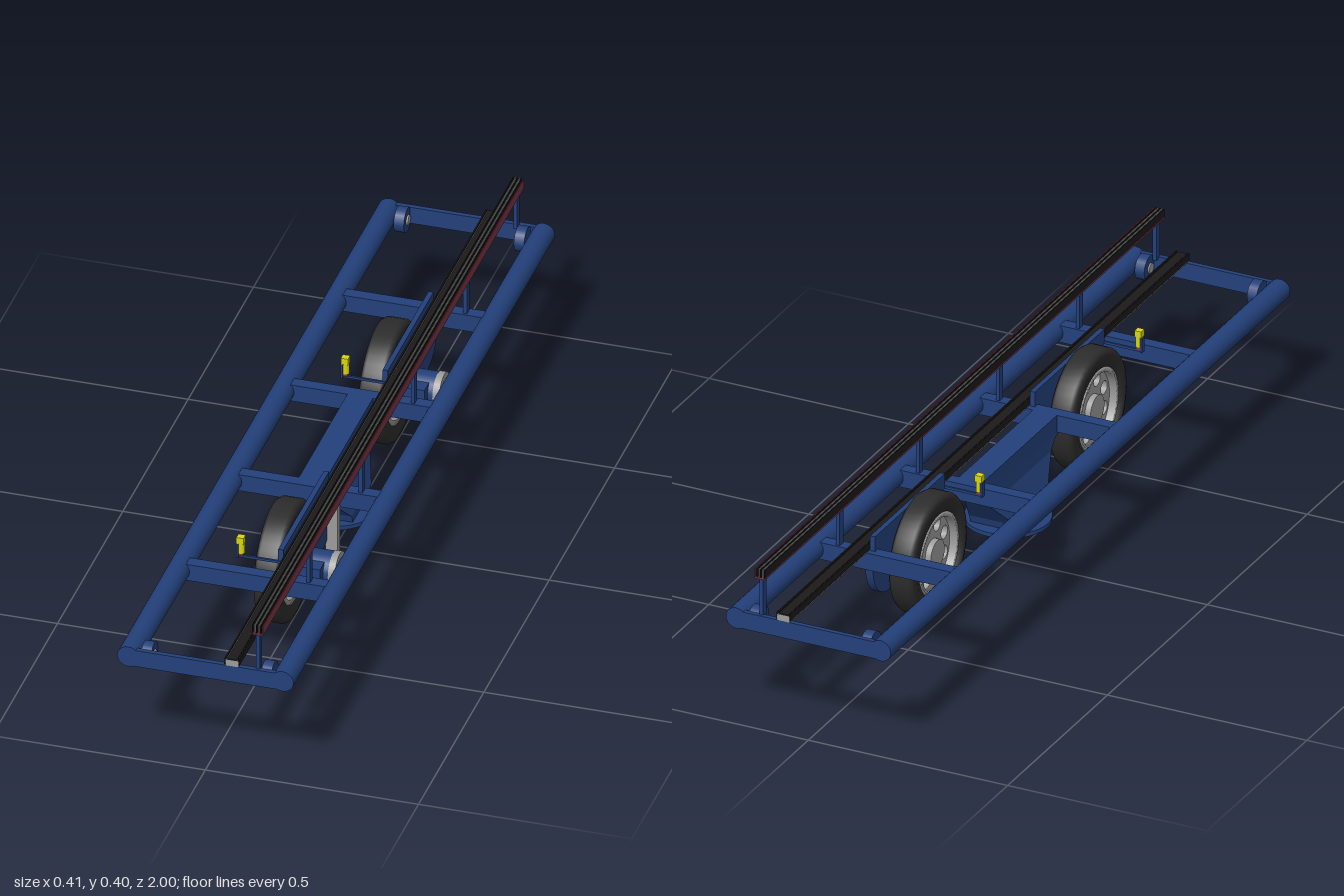
import * as THREE from 'three';

const mat = (name, color, side = THREE.FrontSide) => {
  const m = new THREE.MeshStandardMaterial({ color, side });
  m.name = name;
  return m;
};

export function createModel() {
  const blue = mat('frame blue', 0x23407a);
  const rubber = mat('tyre rubber', 0x2c2c2c);
  const grey = mat('metal grey', 0x9c9c9c);
  const black = mat('track black', 0x1c1a1a);
  const red = mat('rail red', 0x7a3445);
  const yellow = mat('lamp yellow', 0xd9d60f);
  const root = new THREE.Group();

  const add = (parent, name, geo, material) => {
    const m = new THREE.Mesh(geo, material);
    m.name = name;
    parent.add(m);
    return m;
  };
  // Box given by its limits on each axis
  const box = (parent, name, material, [x0, x1], [y0, y1], [z0, z1]) =>
    add(parent, name, new THREE.BoxGeometry(x1 - x0, y1 - y0, z1 - z0)
      .translate((x0 + x1) / 2, (y0 + y1) / 2, (z0 + z1) / 2), material);
  // Cylinder along x, between x0 and x1
  const cylX = (parent, name, material, r, x0, x1, y, z, seg = 24) =>
    add(parent, name, new THREE.CylinderGeometry(r, r, x1 - x0, seg).rotateZ(Math.PI / 2)
      .translate((x0 + x1) / 2, y, z), material);
  // Shape drawn in (z, y), extruded from x0 to x1
  const plateX = (parent, name, material, shape, x0, x1) =>
    add(parent, name, new THREE.ExtrudeGeometry(shape, { depth: x1 - x0, bevelEnabled: false, curveSegments: 16 })
      .rotateY(-Math.PI / 2).translate(x1, 0, 0), material);

  // Frame: side tubes, end plates, cross beams
  const frame = new THREE.Group();
  frame.name = 'frame';
  root.add(frame);
  for (const s of [-1, 1]) {
    add(frame, 'sideTube', new THREE.CylinderGeometry(0.026, 0.026, 2, 20).rotateX(Math.PI / 2)
      .translate(s * 0.181, 0.266, 0), blue);
    const e = s * 0.994;
    box(frame, 'endPlate', blue, [-0.18, 0.18], [0.243, 0.285], [e - 0.006, e + 0.006]);
    for (const z of [0.2, 0.6])
      box(frame, 'crossBeam', blue, [-0.165, 0.165], [0.243, 0.285], [s * z - 0.015, s * z + 0.015]);
    // Corner bosses with bolts
    for (const x of [-0.141, 0.141]) {
      cylX(frame, 'cornerBoss', blue, 0.03, x - 0.012, x + 0.012, 0.263, s * 0.969, 16);
      const inner = x - Math.sign(x) * 0.013;
      cylX(frame, 'cornerBolt', grey, 0.012, inner - 0.003, inner + 0.003, 0.263, s * 0.969, 12);
    }
  }
  box(frame, 'centreBeam', blue, [-0.03, 0.03], [0.235, 0.285], [-0.19, 0.19]);

  // Pedestal: four-sided loft [y, half width, half length]
  const sections = [[0.112, 0.06, 0.068], [0.132, 0.06, 0.075], [0.21, 0.031, 0.155], [0.245, 0.03, 0.188]];
  const pos = [], quad = [];
  for (const [y, w, l] of sections) pos.push(-w, y, l, w, y, l, w, y, -l, -w, y, -l);
  for (let i = 0; i < sections.length - 1; i++)
    for (let j = 0; j < 4; j++) {
      const a = i * 4 + j, b = i * 4 + (j + 1) % 4;
      quad.push(a, b, b + 4, a, b + 4, a + 4);
    }
  let loft = new THREE.BufferGeometry();
  loft.setAttribute('position', new THREE.Float32BufferAttribute(pos, 3));
  loft.setIndex(quad);
  loft = loft.toNonIndexed();
  loft.computeVertexNormals();
  add(root, 'pedestal', loft, blue);
  add(root, 'turntableDisc', new THREE.CylinderGeometry(0.1, 0.1, 0.01, 40).translate(0, 0.108, 0), blue);

  // Drive unit: wheel, arm, motor and lamp, used twice
  const driveUnit = (z) => {
    const g = new THREE.Group();
    g.name = 'driveUnit';
    g.position.z = z;
    root.add(g);

    // Tyre and rim
    const tyre = [[0.096, -0.026], [0.128, -0.031], [0.138, -0.028], [0.143, -0.02], [0.143, 0.02],
      [0.138, 0.028], [0.128, 0.031], [0.096, 0.026], [0.096, -0.026]].map(p => new THREE.Vector2(...p));
    add(g, 'tyre', new THREE.LatheGeometry(tyre, 48).rotateZ(Math.PI / 2).translate(0, 0.2, 0), rubber);
    const rim = [[0.088, -0.027], [0.1, -0.027], [0.1, 0.027], [0.088, 0.027], [0.088, -0.027]]
      .map(p => new THREE.Vector2(...p));
    add(g, 'rimRing', new THREE.LatheGeometry(rim, 40).rotateZ(Math.PI / 2).translate(0, 0.2, 0), grey);
    const disc = new THREE.Shape().absarc(0, 0.2, 0.09, 0, Math.PI * 2);
    for (let i = 0; i < 8; i++) {
      const a = (i + 0.5) * Math.PI / 4;
      disc.holes.push(new THREE.Path().absarc(0.066 * Math.cos(a), 0.2 + 0.066 * Math.sin(a), 0.016, 0, Math.PI * 2, true));
    }
    plateX(g, 'rimDisc', grey, disc, -0.01, 0.012);
    cylX(g, 'hub', grey, 0.035, -0.024, 0.032, 0.2, 0);

    // Swing arm: upper bar with a rounded lower lobe
    const bar = new THREE.Shape([[-0.2, 0.265], [0.15, 0.285], [0.15, 0.322], [-0.2, 0.322]]
      .map(p => new THREE.Vector2(...p)));
    plateX(g, 'armBar', blue, bar, 0.033, 0.045);
    const lobe = new THREE.Shape();
    lobe.moveTo(0.03, 0.165);
    lobe.lineTo(-0.13, 0.158);
    lobe.quadraticCurveTo(-0.205, 0.165, -0.212, 0.25);
    lobe.lineTo(-0.2, 0.285);
    lobe.lineTo(-0.02, 0.285);
    lobe.lineTo(0.03, 0.235);
    plateX(g, 'armLobe', blue, lobe, 0.033, 0.052);

    // Motor with terminal box and brake cap
    cylX(g, 'motorFlange', blue, 0.048, 0.045, 0.06, 0.2, 0);
    cylX(g, 'motorBody', blue, 0.041, 0.05, 0.117, 0.197, 0);
    box(g, 'terminalBox', blue, [0.055, 0.104], [0.17, 0.228], [0, 0.062]);
    cylX(g, 'brakeCap', grey, 0.042, 0.116, 0.132, 0.198, 0);
    cylX(g, 'brakeHub', grey, 0.028, 0.13, 0.137, 0.198, 0);

    // Lamp on its bracket
    box(g, 'lampBracket', blue, [-0.063, 0.045], [0.286, 0.292], [0.147, 0.152]);
    box(g, 'lampPlate', blue, [-0.064, -0.059], [0.286, 0.323], [0.143, 0.156]);
    box(g, 'lampTop', yellow, [-0.063, -0.046], [0.324, 0.34], [0.141, 0.158]);
    add(g, 'lampBody', new THREE.CylinderGeometry(0.0075, 0.0075, 0.026, 12).translate(-0.053, 0.311, 0.15), yellow);
    box(g, 'lampFoot', red, [-0.059, -0.048], [0.291, 0.298], [0.145, 0.155]);
  };
  driveUnit(0.4);
  driveUnit(-0.4);

  // Lower cable track and the grey leg beneath it
  box(root, 'cableTrack', grey, [0.047, 0.078], [0.284, 0.3], [-1, 1]);
  box(root, 'trackStrip', black, [0.051, 0.074], [0.3, 0.303], [-1, 1]);
  for (const x of [0.047, 0.078])
    box(root, 'trackLip', black, [x - 0.0015, x + 0.0015], [0.288, 0.305], [-1, 1]);
  box(root, 'leg', grey, [0.048, 0.077], [0, 0.286], [0.221, 0.238]);

  // Raised conductor rail: base, posts and upright fins
  box(root, 'railBase', red, [0.109, 0.135], [0.377, 0.381], [-1, 1]);
  box(root, 'railOuterWall', red, [0.133, 0.135], [0.381, 0.402], [-1, 1]);
  for (let i = 0; i < 5; i++) {
    const x = 0.11 + i * 0.0048;
    box(root, 'railFin', i % 2 ? grey : black, [x - 0.001, x + 0.001], [0.381, 0.402], [-1, 1]);
  }
  for (const s of [-1, 1])
    for (const z of [0.2, 0.6, 0.985])
      box(root, 'railPost', blue, [0.117, 0.126], [0.28, 0.377], [s * z - 0.009, s * z + 0.009]);

  return root;
}
